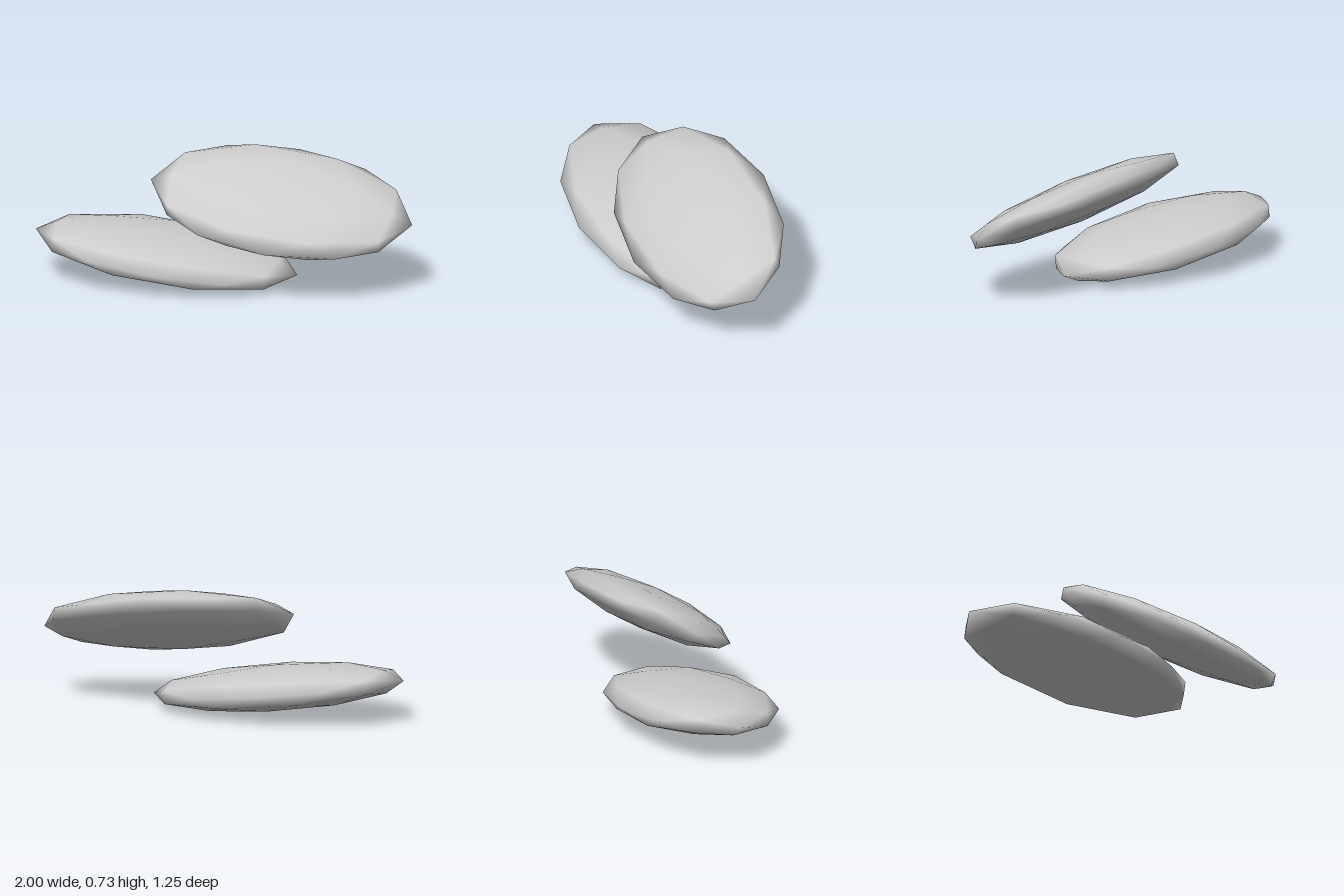
import * as THREE from 'three';

const stone = new THREE.MeshStandardMaterial({ color: 0xcccccc });
stone.name = 'pale grey';

// Flattened smooth pebble, defined by its centre, long and middle half-axes and half-thickness
function pebble(name, centre, long, middle, thickness) {
  const l = new THREE.Vector3(...long);
  const m = new THREE.Vector3(...middle);
  const t = new THREE.Vector3().crossVectors(l, m).setLength(thickness);
  const geometry = new THREE.IcosahedronGeometry(1, 1);
  geometry.applyMatrix4(new THREE.Matrix4().makeBasis(l, m, t));
  const mesh = new THREE.Mesh(geometry, stone);
  mesh.name = name;
  mesh.position.set(...centre);
  return mesh;
}

export function createModel() {
  const model = new THREE.Group();
  model.name = 'pebbles';
  model.add(
    // Lower pebble lies almost flat
    pebble('lowerPebble', [-0.305, 0.153, -0.12], [0.695, -0.09, 0.31], [0.18, 0.018, -0.41], 0.127),
    // Upper pebble tips down towards the front
    pebble('upperPebble', [0.305, 0.49, 0.157], [0.695, -0.09, 0.305], [0.18, 0.2, -0.355], 0.124),
  );
  return model;
}
